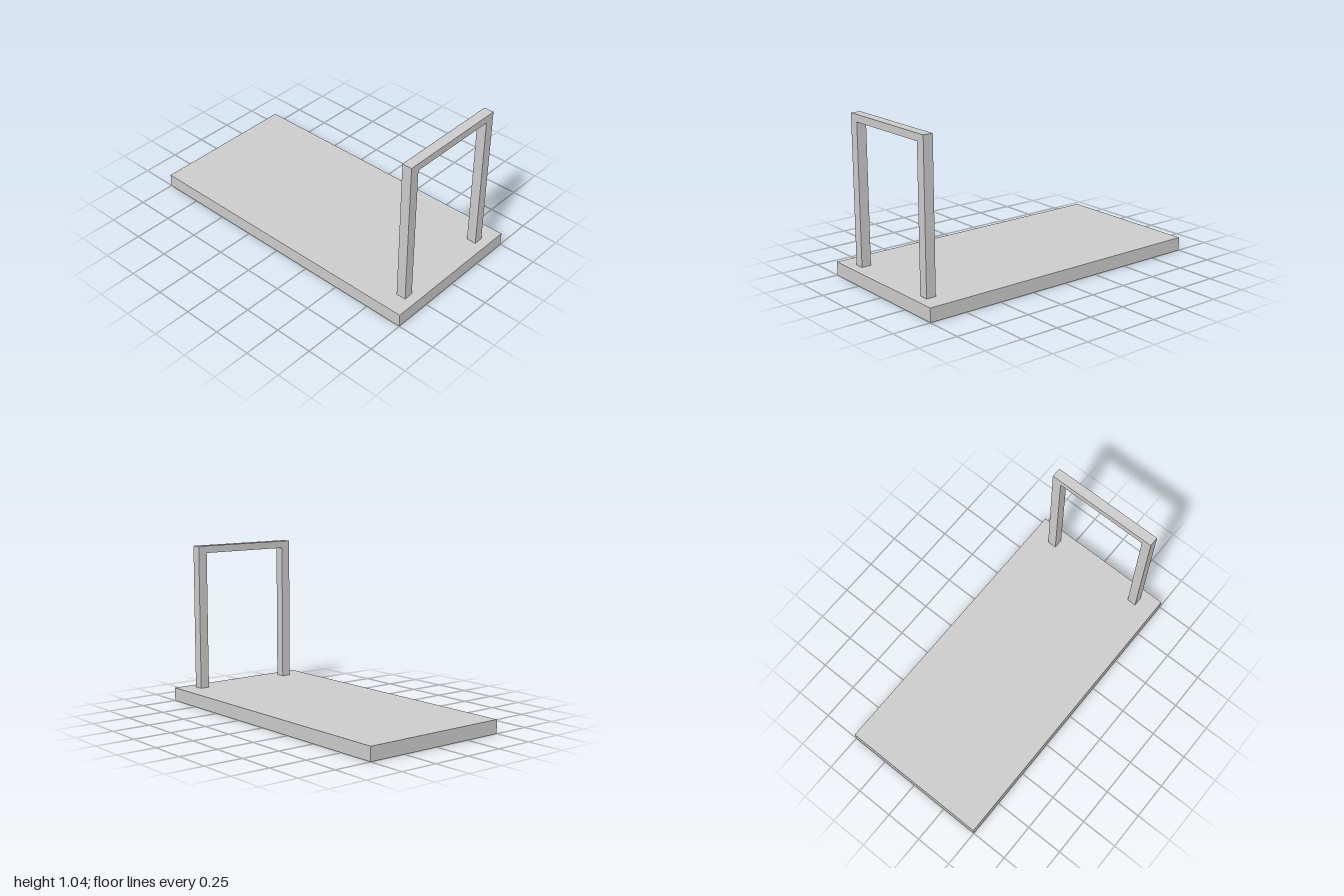
import * as THREE from 'three';

export function createModel() {
  const model = new THREE.Group();
  const material = new THREE.MeshStandardMaterial({ color: 0xcccccc, flatShading: true });

  // Flat platform
  const deckHeight = 0.088;
  const deck = new THREE.Mesh(new THREE.BoxGeometry(2, deckHeight, 1), material);
  deck.name = 'deck';
  deck.position.y = deckHeight / 2;
  model.add(deck);

  // Push handle: an inverted U, two posts joined by a thinner top bar
  const half = 0.374, post = 0.062, top = 1.043, barUnderside = 0.996, depth = 0.064;
  const inner = half - post;
  const outline = new THREE.Shape([
    [-half, deckHeight], [-inner, deckHeight], [-inner, barUnderside], [inner, barUnderside],
    [inner, deckHeight], [half, deckHeight], [half, top], [-half, top],
  ].map(([x, y]) => new THREE.Vector2(x, y)));
  const handle = new THREE.Mesh(
    new THREE.ExtrudeGeometry(outline, { depth, bevelEnabled: false }), material);
  handle.name = 'handle';
  handle.rotation.y = Math.PI / 2;
  handle.position.x = 0.872;
  model.add(handle);

  return model;
}
